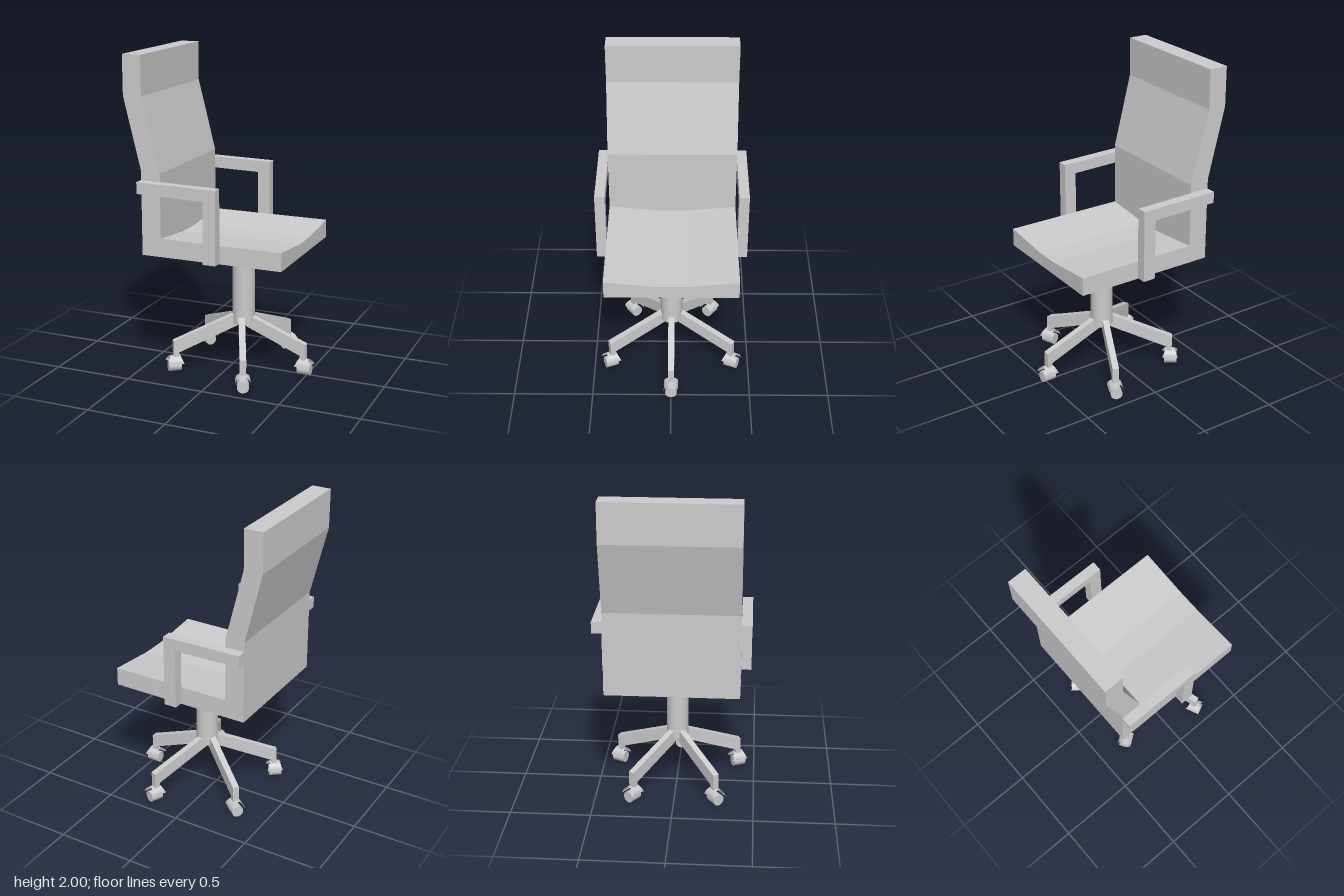
import * as THREE from 'three';

const material = new THREE.MeshStandardMaterial({ color: 0xcccccc, side: THREE.DoubleSide });

// Extrude a polygon, centred on its depth
function prism(points, depth) {
  const shape = new THREE.Shape(points.map(([x, y]) => new THREE.Vector2(x, y)));
  return new THREE.ExtrudeGeometry(shape, { depth, bevelEnabled: false }).translate(0, 0, -depth / 2);
}

function add(parent, name, geometry, x = 0, y = 0, z = 0) {
  const mesh = new THREE.Mesh(geometry, material);
  mesh.name = name;
  mesh.position.set(x, y, z);
  parent.add(mesh);
  return mesh;
}

// Half-round caster cover whose ends slope outwards towards the rim
function hoodGeometry() {
  const r = 0.046;
  const geometry = new THREE.CylinderGeometry(r, r, 2, 20, 1, true, 0, Math.PI).rotateZ(Math.PI / 2);
  const p = geometry.attributes.position;
  for (let i = 0; i < p.count; i++) {
    p.setX(i, p.getX(i) * (0.052 - 0.02 * p.getY(i) / r));
  }
  geometry.computeVertexNormals();
  return geometry;
}

export function createModel() {
  const chair = new THREE.Group();
  chair.name = 'officeChair';
  const midZ = -0.003;

  // Backrest, bent twice, running down to the underside of the seat
  add(chair, 'backrest', prism([
    [-0.43, 0.785], [-0.305, 0.785], [-0.305, 1.3], [-0.42, 1.755],
    [-0.42, 2], [-0.54, 2], [-0.54, 1.755], [-0.43, 1.31],
  ], 0.815), 0, 0, midZ);

  // Seat with a shallow dip across its width
  const seat = prism([
    [-0.408, 0.785], [0.408, 0.785], [0.408, 0.9],
    [0.08, 0.868], [-0.08, 0.868], [-0.408, 0.9],
  ], 0.775).rotateY(Math.PI / 2);
  add(chair, 'seat', seat, 0.0825, 0, midZ);

  // Armrests: a bar from the backrest and a post down to the seat
  for (const side of [-1, 1]) {
    add(chair, side > 0 ? 'leftArmrest' : 'rightArmrest', prism([
      [-0.43, 1.18], [0, 1.172], [0, 0.79], [0.08, 0.79], [0.08, 1.245], [-0.43, 1.252],
    ], 0.063), 0, 0, midZ + side * 0.439);
  }

  // Column
  add(chair, 'column', new THREE.CylinderGeometry(0.07, 0.07, 0.497, 32), 0.07, 0.5375, 0);

  // Five sloping legs, each ending on a caster
  const rootX = 0.055;
  const tips = [[0.49, 0], [0.23, 0.4], [0.23, -0.4], [-0.3, 0.265], [-0.3, -0.265]];
  const hood = hoodGeometry();
  const wheel = new THREE.CylinderGeometry(0.037, 0.037, 0.08, 20).rotateZ(Math.PI / 2);
  for (const [x, z] of tips) {
    const length = Math.hypot(x - rootX, z);
    const leg = new THREE.Group();
    leg.name = 'baseLeg';
    leg.position.x = rootX;
    leg.rotation.y = -Math.atan2(z, x - rootX);
    add(leg, 'legBeam', prism([
      [0, 0.285], [length - 0.035, 0.125], [length - 0.03, 0.095],
      [length, 0.095], [length, 0.2], [0, 0.368],
    ], 0.04));
    add(leg, 'casterHood', hood, length - 0.01, 0.056, 0);
    add(leg, 'casterWheel', wheel, length - 0.007, 0.037, 0);
    chair.add(leg);
  }
  return chair;
}
